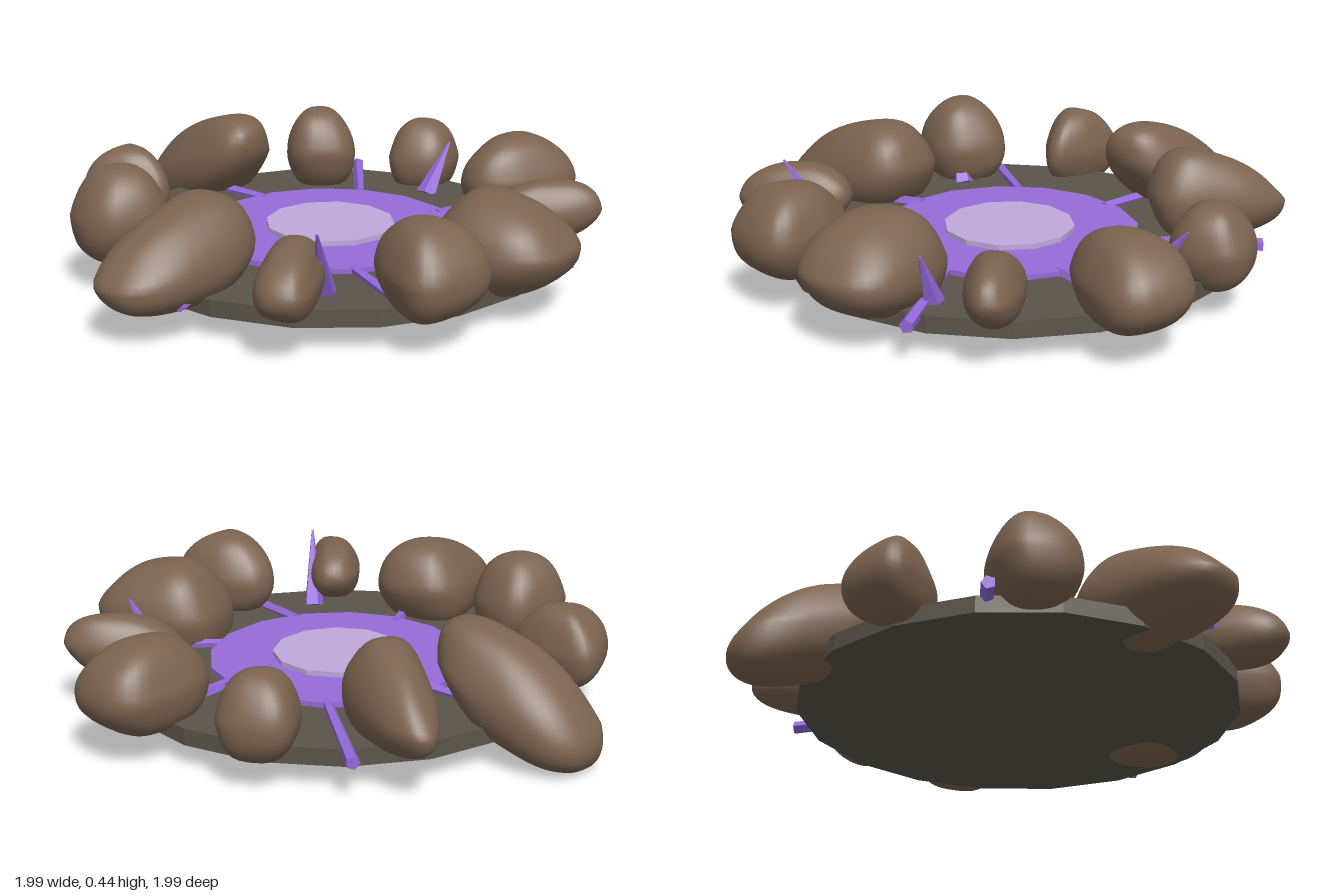
import * as THREE from 'three';
import { mergeVertices } from 'three/addons/utils/BufferGeometryUtils.js';

const mat = (name, color, flat = false) => {
  const m = new THREE.MeshStandardMaterial({ color, flatShading: flat });
  m.name = name;
  return m;
};

// Rounded stone: a sphere squared off, broad at the foot, then turned.
// Toward its +u end it narrows by taper, gets lower by pinch and rises by slope.
function rockGeometry({ at, size, turn = 0, taper = 0, pinch = 0, y, slope = 0 }, seed) {
  const g = new THREE.SphereGeometry(1, 36, 24);
  const p = g.attributes.position;
  const mid = (y[0] + y[1]) / 2, half = (y[1] - y[0]) / 2;
  const square = v => Math.sign(v) * Math.pow(Math.abs(v), 0.77);
  for (let i = 0; i < p.count; i++) {
    const h = p.getY(i);
    const t = Math.atan2(p.getZ(i), p.getX(i));
    const r = Math.pow(Math.hypot(p.getX(i), p.getZ(i)), 0.78) * (1 - 0.1 * h);
    const lump = r * (1 + 0.07 * (Math.sin(2 * t + seed + 3 * h) - 1) * Math.abs(h) + 0.025 * Math.sin(3 * t + seed));
    const u = size[0] * square(Math.cos(t)) * lump + 0.25 * slope * h;
    const v = size[1] * square(Math.sin(t)) * (1 - taper * Math.cos(t)) * lump;
    p.setXYZ(i,
      at[0] + u * Math.cos(turn) - v * Math.sin(turn),
      mid + half * h * (1 - pinch * u / size[0]) + slope * u,
      at[1] + u * Math.sin(turn) + v * Math.cos(turn));
  }
  g.deleteAttribute('uv');
  g.deleteAttribute('normal');
  const smooth = mergeVertices(g, 1e-5);
  smooth.computeVertexNormals();
  return smooth;
}

export function createModel() {
  const group = new THREE.Group();
  const stone = mat('brown stone', 0x7b6350);
  const slab = mat('dark slab', 0x5a554b, true);
  const violet = mat('violet', 0x976bd8, true);
  const crystal = mat('crystal violet', 0x9469da, true);
  const pale = mat('pale lilac', 0xbfa8db, true);

  const add = (name, geometry, material) => {
    const m = new THREE.Mesh(geometry, material);
    m.name = name;
    group.add(m);
    return m;
  };

  // Stacked discs
  const disc = (name, r, y0, y1, sides, material) =>
    add(name, new THREE.CylinderGeometry(r, r, y1 - y0, sides), material).position.set(0.055, (y0 + y1) / 2, 0.04);
  disc('baseSlab', 0.785, 0.092, 0.15, 18, slab);
  disc('glowingPool', 0.455, 0.14, 0.168, 16, violet);
  disc('poolCentre', 0.23, 0.16, 0.186, 12, pale);

  // Bar between two points, tapering from r0 to r1
  const bar = (name, a, b, r0, r1) => {
    const p = new THREE.Vector3(...a), d = new THREE.Vector3(...b).sub(p);
    const m = add(name, new THREE.CylinderGeometry(r1, r0, d.length(), 5), crystal);
    m.position.copy(p).addScaledVector(d, 0.5);
    m.quaternion.setFromUnitVectors(new THREE.Vector3(0, 1, 0), d.normalize());
  };

  // Flat veins running outward: x and z of the inner end, then of the outer end
  const vein = (x0, z0, x1, z1) => bar('crystalVein', [x0, 0.16, z0], [x1, 0.147, z1], 0.018, 0.024);
  vein(0.46, -0.14, 0.805, -0.415);
  vein(-0.2, -0.33, -0.55, -0.59);
  vein(-0.23, 0.37, -0.41, 0.75);
  vein(0.14, 0.47, 0.33, 0.87);
  vein(0.43, 0.24, 0.8, 0.34);
  vein(0.17, -0.37, 0.2, -0.65);
  vein(-0.37, 0.02, -0.81, 0.13);

  // Upright shards leaning outward
  const shard = (base, tip) => bar('crystalShard', base, tip, 0.04, 0.004);
  shard([-0.43, 0.14, 0.41], [-0.585, 0.4, 0.5]);
  shard([0.65, 0.14, 0.035], [0.79, 0.32, 0.04]);
  shard([0.26, 0.14, 0.67], [0.29, 0.33, 0.76]);
  shard([-0.44, 0.14, -0.29], [-0.54, 0.32, -0.36]);

  // Ring of boulders: plan centre, half length and width, turn, bottom and top height
  let seed = 0;
  const rock = (name, spec) => add(name, rockGeometry(spec, seed++ * 1.7), stone);
  rock('backBoulder', { at: [0.24, -0.71], size: [0.28, 0.165], turn: 1.74, y: [0.06, 0.405], slope: 0.3 });
  rock('backLeftRock', { at: [-0.21, -0.69], size: [0.16, 0.115], turn: 1.45, taper: 0.5, y: [0.1, 0.39] });
  rock('leftBackRock', { at: [-0.54, -0.4], size: [0.165, 0.15], turn: 0.4, y: [0.1, 0.445] });
  rock('leftBoulder', { at: [-0.705, 0], size: [0.295, 0.175], turn: Math.PI, taper: 0.28, pinch: 0.3, y: [0.085, 0.405], slope: -0.1 });
  rock('leftFrontRock', { at: [-0.615, 0.42], size: [0.205, 0.1], turn: -0.5, y: [0.14, 0.365], slope: 0.03 });
  rock('frontLeftRock', { at: [-0.315, 0.715], size: [0.19, 0.15], turn: -1.3, taper: 0.3, y: [0.11, 0.43] });
  rock('frontBoulder', { at: [0.075, 0.755], size: [0.24, 0.205], turn: 1.45, taper: 0.1, pinch: 0.3, y: [0.08, 0.42], slope: 0.03 });
  rock('frontRightRock', { at: [0.485, 0.645], size: [0.21, 0.095], turn: 0.95, taper: 0.25, y: [0.13, 0.35], slope: 0.08 });
  rock('rightBoulder', { at: [0.77, 0.35], size: [0.22, 0.155], turn: 0.35, taper: -0.3, y: [0.1, 0.41] });
  rock('rightBackRock', { at: [0.8, -0.09], size: [0.14, 0.13], turn: -0.3, taper: -0.1, y: [0.095, 0.39] });
  rock('backRightRock', { at: [0.595, -0.46], size: [0.245, 0.12], turn: -0.8, taper: 0.5, pinch: 0.35, y: [0.12, 0.42], slope: -0.08 });
  return group;
}
